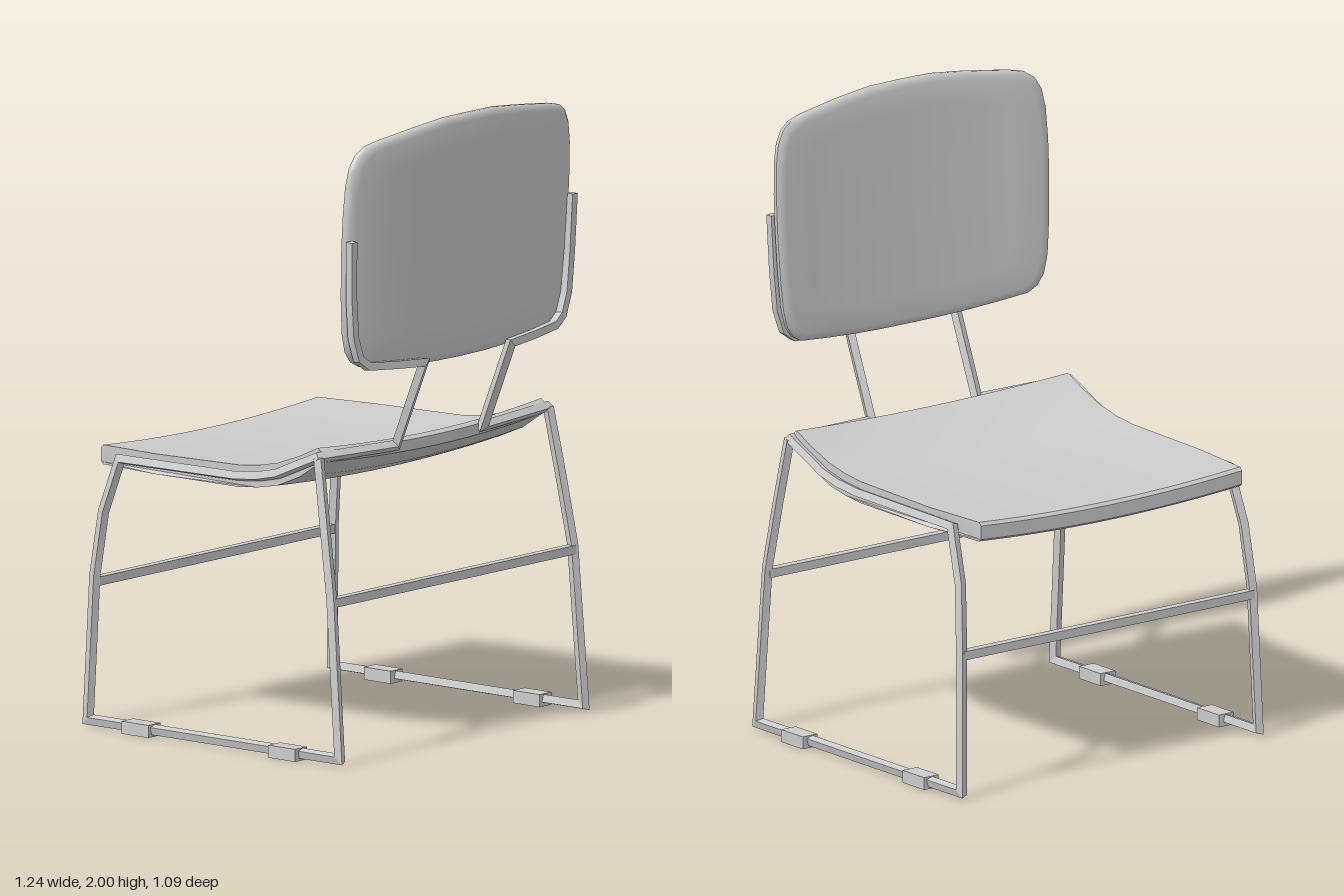
import * as THREE from 'three';
import { toCreasedNormals, mergeVertices } from 'three/addons/utils/BufferGeometryUtils.js';

const material = new THREE.MeshStandardMaterial({ color: 0xcccccc });

function part(name, geometry) {
  const mesh = new THREE.Mesh(geometry, material);
  mesh.name = name;
  return mesh;
}

function indexed(positions, index) {
  const g = new THREE.BufferGeometry();
  g.setAttribute('position', new THREE.Float32BufferAttribute(positions, 3));
  g.setIndex(index);
  return g;
}

// Square bar swept along a polyline with mitred corners
function squareBar(points, half) {
  const p = points.map((a) => new THREE.Vector3(...a));
  const n = p.length;
  const dir = p.slice(1).map((b, i) => b.clone().sub(p[i]).normalize());
  const ref = Math.abs(dir[0].z) > 0.8 ? new THREE.Vector3(0, 1, 0) : new THREE.Vector3(0, 0, 1);
  const u = dir[0].clone().cross(ref).normalize();
  const v = dir[0].clone().cross(u);
  const corners = [[1, 1], [-1, 1], [-1, -1], [1, -1]].map(([a, b]) =>
    u.clone().multiplyScalar(a * half).addScaledVector(v, b * half));
  const pos = [], idx = [];
  for (let i = 0; i < n; i++) {
    const d = dir[Math.max(i - 1, 0)], e = dir[Math.min(i, n - 2)];
    const t = d.clone().add(e);
    const turn = new THREE.Quaternion().setFromUnitVectors(d, e);
    for (const o of corners) {
      const q = p[i].clone().add(o).addScaledVector(d, -o.dot(t) / d.dot(t));
      pos.push(q.x, q.y, q.z);
      o.applyQuaternion(turn);
    }
    if (i < n - 1) for (let k = 0; k < 4; k++) {
      const a = i * 4 + k, b = i * 4 + (k + 1) % 4;
      idx.push(a, b, b + 4, a, b + 4, a + 4);
    }
  }
  const l = (n - 1) * 4;
  idx.push(0, 2, 1, 0, 3, 2, l, l + 1, l + 2, l, l + 2, l + 3);
  return toCreasedNormals(indexed(pos, idx), 0.3);
}

// Seat: side profile (z, y) extruded across the width, then dished
function seatGeometry() {
  const profile = [
    [0.365, 0.99], [0.29, 0.955], [0.2, 0.922], [0.12, 0.905], [0.04, 0.896], [-0.3, 0.889], [-0.53, 0.886],
    [-0.54, 0.876], [-0.54, 0.832], [-0.53, 0.824], [-0.3, 0.824], [0.04, 0.826], [0.12, 0.834],
    [0.2, 0.85], [0.29, 0.888], [0.375, 0.945], [0.378, 0.98],
  ];
  const shape = new THREE.Shape(profile.map(([z, y]) => new THREE.Vector2(-z, y)));
  const g = new THREE.ExtrudeGeometry(shape, { depth: 1.08, steps: 14, bevelEnabled: false });
  g.translate(0, 0, -0.54).rotateY(Math.PI / 2);
  const pos = g.attributes.position;
  for (let i = 0; i < pos.count; i++) {
    const x = pos.getX(i), y = pos.getY(i), z = pos.getZ(i);
    const mid = 1 - (x / 0.54) ** 2;
    const taper = 1 - 0.04 * Math.max(0, (-0.3 - z) / 0.24);
    const back = Math.max(0, (z - 0.2) / 0.18);
    pos.setXYZ(i, x * taper, y - 0.02 * mid, z + 0.022 * mid * back);
  }
  g.deleteAttribute('uv');
  g.deleteAttribute('normal');
  return toCreasedNormals(mergeVertices(g), 0.6);
}

// Backrest: concentric rings of a rounded outline, curved around the sitter
function backrestGeometry() {
  const half = [
    [0, 1.22], [0.12, 1.221], [0.22, 1.225], [0.34, 1.234], [0.45, 1.246], [0.485, 1.265], [0.51, 1.3],
    [0.525, 1.36], [0.535, 1.48], [0.54, 1.62], [0.54, 1.73], [0.535, 1.83], [0.523, 1.89], [0.5, 1.93],
    [0.465, 1.953], [0.41, 1.965], [0.25, 1.986], [0.12, 1.999], [0, 2],
  ];
  const outline = [...half, ...half.slice(1, -1).reverse().map(([x, y]) => [-x, y])];
  const t = 0.019;
  const rings = [[0, t], [0.25, t], [0.5, t], [0.75, t], [0.94, t], [0.98, 0.8 * t], [1, 0.35 * t],
    [1, -0.35 * t], [0.98, -0.8 * t], [0.94, -t], [0.75, -t], [0.5, -t], [0.25, -t], [0, -t]];
  const pos = [], idx = [], n = outline.length;
  rings.forEach(([s, depth], r) => {
    outline.forEach(([ox, oy], k) => {
      const x = ox * s, y = 1.61 + (oy - 1.61) * s;
      const z = 0.487 + 0.04 * (y - 1.22) / 0.78 - 0.04 * Math.abs(x / 0.54) ** 2.2;
      pos.push(x, y, z + depth);
      if (r === 0) return;
      const a = (r - 1) * n + k, b = (r - 1) * n + (k + 1) % n;
      if (r > 1) idx.push(a, a + n, b);
      if (r < rings.length - 1) idx.push(b, a + n, b + n);
    });
  });
  return toCreasedNormals(indexed(pos, idx), 0.9);
}

export function createModel() {
  const chair = new THREE.Group();
  chair.name = 'chair';
  chair.add(part('seat', seatGeometry()), part('backrest', backrestGeometry()));

  // One continuous bar per side: back support, seat rail, front leg, runner, rear leg
  const path = [
    [0.533, 1.66, 0.498], [0.527, 1.48, 0.492], [0.515, 1.35, 0.49], [0.49, 1.28, 0.49], [0.45, 1.252, 0.494],
    [0.33, 1.242, 0.51], [0.21, 1.234, 0.52], [0.21, 0.955, 0.406],
    [0.553, 0.962, 0.376], [0.553, 0.89, 0.21], [0.553, 0.872, 0.13], [0.553, 0.863, 0.04],
    [0.55, 0.857, -0.435], [0.563, 0.685, -0.492], [0.577, 0.48, -0.516], [0.59, 0.023, -0.532],
    [0.59, 0.023, 0.497], [0.583, 0.53, 0.458], [0.57, 0.75, 0.42], [0.555, 0.962, 0.382],
  ];
  for (const side of [1, -1]) {
    const label = side > 0 ? 'left' : 'right';
    chair.add(part(label + 'Frame', squareBar(path.map(([x, y, z]) => [x * side, y, z]), 0.0125)));

    // Floor glides
    for (const [z, x, end] of [[0.285, 0.592, 'Rear'], [-0.32, 0.586, 'Front']]) {
      const glide = part(label + end + 'Glide', new THREE.BoxGeometry(0.058, 0.04, 0.11));
      glide.position.set(x * side, 0.02, z);
      chair.add(glide);
    }
  }

  // Cross bars between the legs
  chair.add(part('rearCrossBar', squareBar([[-0.583, 0.515, 0.459], [0.583, 0.515, 0.459]], 0.014)));
  chair.add(part('frontCrossBar', squareBar([[-0.577, 0.462, -0.517], [0.577, 0.462, -0.517]], 0.014)));
  return chair;
}
